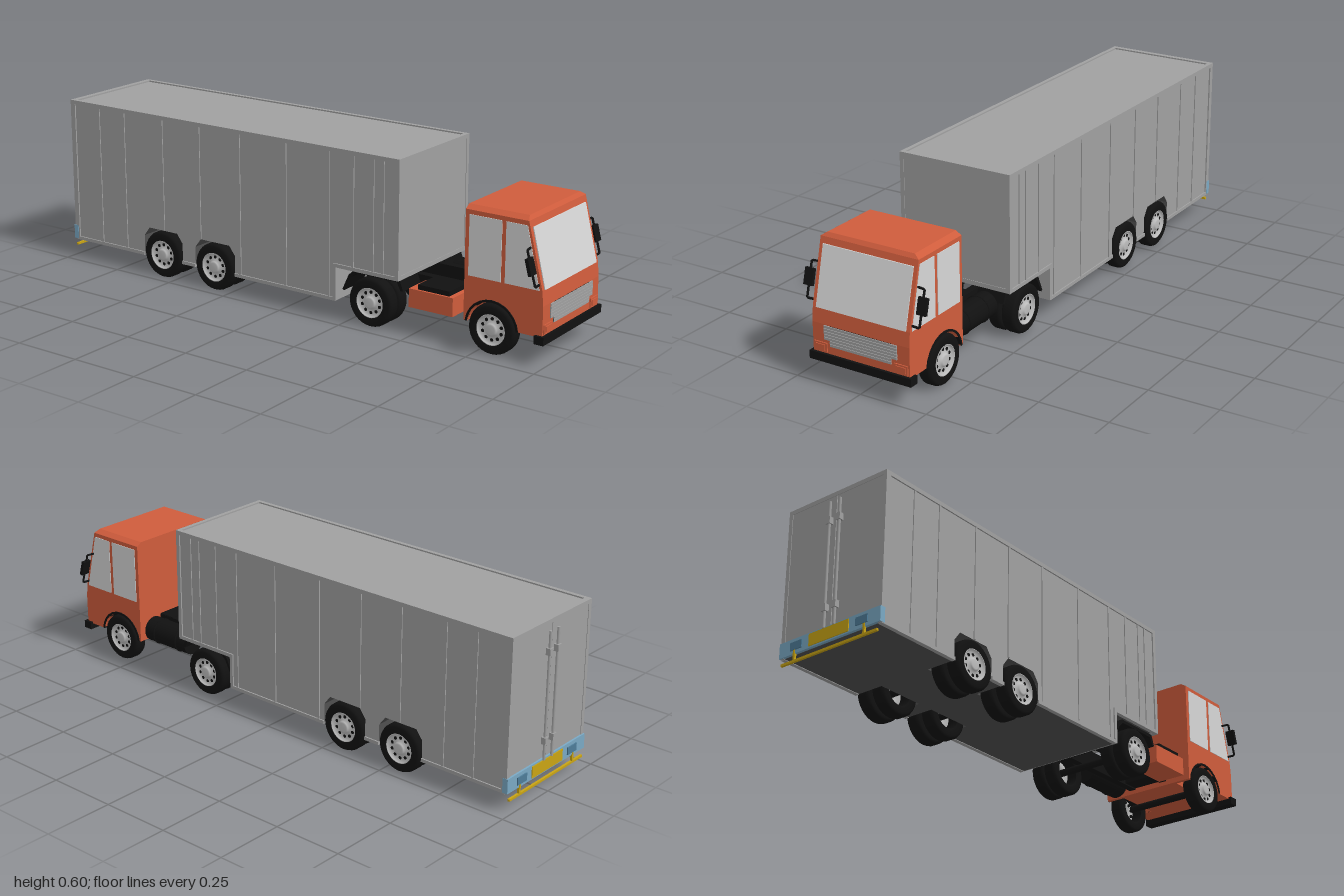
import * as THREE from 'three';

const mat = (name, color, extra = {}) => {
  const m = new THREE.MeshStandardMaterial({ color, ...extra });
  m.name = name;
  return m;
};

export function createModel() {
  const truck = new THREE.Group();
  truck.name = 'articulatedTruck';
  const grey = mat('trailerGrey', 0xa0a0a0);
  const dark = mat('undersideGrey', 0x505050);
  const orange = mat('cabOrange', 0xcf5c3c);
  const glass = mat('windowGlass', 0xd6d6d6);
  const black = mat('black', 0x111111);
  const silver = mat('rimSilver', 0xbdbdbd, { side: THREE.DoubleSide });
  const yellow = mat('markerYellow', 0xc9a414);
  const blue = mat('bumperBlue', 0x7aa9c4);
  const deepBlue = mat('lampBlue', 0x4d7c98);
  const sides = [-1, 1];

  const add = (name, geo, material, parent = truck) => {
    const m = new THREE.Mesh(geo, material);
    m.name = name;
    parent.add(m);
    return m;
  };
  const group = (name) => {
    const g = new THREE.Group();
    g.name = name;
    truck.add(g);
    return g;
  };
  // Box from its three ranges
  const box = (name, material, [x0, x1], [y0, y1], [z0, z1], parent) => {
    const geo = new THREE.BoxGeometry(Math.abs(x1 - x0), y1 - y0, Math.abs(z1 - z0));
    geo.translate((x0 + x1) / 2, (y0 + y1) / 2, (z0 + z1) / 2);
    return add(name, geo, material, parent);
  };
  // Side profile of (z, y) points, extruded across x
  const prism = (name, material, points, xa, xb, parent) => {
    const [x0, x1] = [Math.min(xa, xb), Math.max(xa, xb)];
    const shape = new THREE.Shape(points.map(([z, y]) => new THREE.Vector2(z, y)));
    const geo = new THREE.ExtrudeGeometry(shape, { depth: x1 - x0, bevelEnabled: false });
    geo.rotateY(-Math.PI / 2).translate(x1, 0, 0);
    return add(name, geo, material, parent);
  };

  // ---- Trailer body: plain centre, outer pods with wheel arches
  const trailer = group('trailer');
  const F = 0.465, B = -0.98, step = 0.21, low = 0.072, neck = 0.195, top = 0.598;
  const trailerAxles = [-0.315, -0.555];
  const upper = [[B, low], [B, top], [F - 0.005, top], [F - 0.005, neck], [step, neck], [step, low]];
  const arches = trailerAxles.flatMap((c) => [
    [c + 0.09, low], [c + 0.09, 0.145], [c + 0.065, 0.178],
    [c - 0.065, 0.178], [c - 0.09, 0.145], [c - 0.09, low]]);
  prism('trailerCore', dark, upper, -0.1, 0.1, trailer);
  for (const s of sides) prism('trailerSide', [grey, dark], [...upper, ...arches], s * 0.1, s * 0.21, trailer);
  box('roofPanel', grey, [-0.21, 0.21], [top - 0.002, top + 0.002], [B, F - 0.002], trailer);
  box('frontPanel', grey, [-0.21, 0.21], [neck, top], [F - 0.006, F - 0.002], trailer);
  box('stepPanel', grey, [-0.213, 0.213], [low, neck], [step - 0.002, step + 0.003], trailer);

  // Edge frame
  const T = 0.605, w = 0.015;
  for (const s of sides) {
    const edge = [s * 0.2, s * 0.215];
    box('roofRail', grey, edge, [T - w, T], [B, F], trailer);
    box('frontPost', grey, edge, [neck - 0.005, T], [F - w, F], trailer);
    box('rearPost', grey, edge, [low, T], [B - 0.005, B + w], trailer);
    box('neckRail', grey, edge, [neck - 0.005, neck + 0.008], [step, F], trailer);
    box('stepPost', grey, edge, [low, neck + 0.008], [step - 0.01, step + 0.003], trailer);
    const cuts = [step, ...trailerAxles.flatMap((c) => [c + 0.09, c - 0.09]), B];
    for (let i = 0; i < cuts.length; i += 2)
      box('lowerRail', grey, edge, [low - 0.002, low + 0.01], [cuts[i + 1], cuts[i]], trailer);
    for (const z of [0.4, 0.36, 0.28, 0.18, 0, -0.2, -0.38, -0.55, -0.73, -0.85])
      box('sideRib', grey, [s * 0.208, s * 0.2135], [Math.abs(z + 0.46) < 0.25 ? 0.18 : z > step ? neck : low, T - w], [z - 0.004, z + 0.004], trailer);
  }
  box('frontTopRail', grey, [-0.215, 0.215], [T - w, T], [F - w, F], trailer);
  box('frontBottomRail', grey, [-0.215, 0.215], [neck - 0.005, neck + 0.01], [F - w, F], trailer);
  box('rearTopRail', grey, [-0.215, 0.215], [T - w, T], [B - 0.005, B + w], trailer);

  // Rear doors with locking rods
  for (const s of sides) {
    box('rearDoor', grey, [s * 0.0015, s * 0.2], [0.12, T - w], [B - 0.003, B], trailer);
    const rod = new THREE.CylinderGeometry(0.005, 0.005, 0.45, 10).translate(s * 0.022, 0.345, B - 0.012);
    add('lockRod', rod, grey, trailer);
    for (const y of [0.19, 0.5])
      box('rodClamp', grey, [s * 0.013, s * 0.031], [y - 0.012, y + 0.012], [B - 0.02, B - 0.003], trailer);
  }

  // Rear bumper, lamps and underrun bar
  box('rearBumper', blue, [-0.216, 0.216], [0.073, 0.125], [B - 0.01, B + 0.01], trailer);
  box('markerPlate', yellow, [-0.085, 0.085], [0.078, 0.12], [B - 0.013, B - 0.009], trailer);
  box('underrunBar', yellow, [-0.205, 0.205], [0.043, 0.051], [B - 0.012, B - 0.004], trailer);
  for (const s of sides) {
    box('rearLamp', deepBlue, [s * 0.115, s * 0.165], [0.085, 0.112], [B - 0.014, B - 0.009], trailer);
    box('underrunStrut', yellow, [s * 0.145, s * 0.153], [0.045, 0.085], [B - 0.012, B - 0.004], trailer);
  }

  // ---- Cab: plain centre, outer parts with wheel arches
  const cab = group('cab');
  const axle = 0.805;
  const cabTop = [[0.7, 0.1], [0.7, 0.475], [0.93, 0.475], [0.985, 0.255], [0.99, 0.205], [0.99, 0.1]];
  const cabArch = [];
  for (let i = 0; i <= 12; i++) {
    const a = 0.12 + (i / 12) * (Math.PI - 0.24);
    cabArch.push([axle + 0.092 * Math.cos(a), 0.089 + 0.092 * Math.sin(a)]);
  }
  prism('cabCore', orange, cabTop, -0.12, 0.12, cab);
  for (const s of sides) {
    prism('cabSide', orange, [...cabTop, ...cabArch], s * 0.12, s * 0.186, cab);
    // Arch lining
    const outer = cabArch.map(([z, y]) => [axle + (z - axle) * 1.08, 0.089 + (y - 0.089) * 1.08]);
    prism('archTrim', black, [...cabArch, ...outer.reverse()], s * 0.13, s * 0.189, cab);
    // Side windows
    prism('doorWindow', glass, [[0.715, 0.255], [0.835, 0.255], [0.835, 0.46], [0.715, 0.46]], s * 0.184, s * 0.188, cab);
    prism('quarterWindow', glass, [[0.85, 0.255], [0.975, 0.255], [0.926, 0.46], [0.85, 0.46]], s * 0.184, s * 0.188, cab);
    // Headlamp housings
    box('headlampHousing', orange, [s * 0.13, s * 0.18], [0.11, 0.142], [0.985, 0.994], cab);
    box('headlamp', orange, [s * 0.137, s * 0.173], [0.116, 0.136], [0.99, 0.997], cab);
    // Mirror on a bent tube
    const path = new THREE.CurvePath();
    const pts = [[0.18, 0.39, 0.938], [0.215, 0.39, 0.943], [0.215, 0.273, 0.975], [0.18, 0.273, 0.972]]
      .map(([x, y, z]) => new THREE.Vector3(s * x, y, z));
    for (let i = 0; i < 3; i++) path.add(new THREE.LineCurve3(pts[i], pts[i + 1]));
    add('mirrorArm', new THREE.TubeGeometry(path, 36, 0.004, 8), black, cab);
    const mirror = box('mirror', black, [-0.017, 0.017], [-0.028, 0.028], [-0.006, 0.006], cab);
    mirror.position.set(s * 0.216, 0.339, 0.957);
    mirror.rotation.x = -0.26;
  }
  // Roof slab with chamfered edges
  const roof = new THREE.BoxGeometry(0.372, 0.013, 0.23).toNonIndexed();
  const p = roof.attributes.position;
  for (let i = 0; i < p.count; i++)
    if (p.getY(i) > 0) p.setXYZ(i, p.getX(i) * 0.89, p.getY(i), p.getZ(i) > 0 ? 0.105 : p.getZ(i));
  roof.computeVertexNormals();
  roof.translate(0, 0.4815, 0.815);
  add('cabRoof', roof, orange, cab);
  prism('windscreen', glass, [[0.98, 0.256], [0.988, 0.256], [0.939, 0.453], [0.931, 0.453]], -0.172, 0.172, cab);

  // Grille and bumper
  box('grilleBack', black, [-0.118, 0.118], [0.134, 0.203], [0.985, 0.991], cab);
  for (let i = 0; i < 7; i++) {
    const y = 0.134 + i * 0.01, half = i < 2 ? 0.118 : 0.14;
    box('grilleSlat', grey, [-half, half], [y, y + 0.0085], [0.985, 0.994], cab);
  }
  box('frontBumper', black, [-0.196, 0.196], [0.078, 0.106], [0.965, 1], cab);

  // ---- Tractor chassis
  const chassis = group('chassis');
  box('crossMember', black, [-0.08, 0.08], [0.12, 0.182], [0.635, 0.7], chassis);
  box('rearCrossMember', black, [-0.08, 0.08], [0.12, 0.175], [0.27, 0.31], chassis);
  const plate = new THREE.CylinderGeometry(0.075, 0.075, 0.016, 24).translate(0, 0.186, 0.345);
  add('couplingPlate', plate, black, chassis);
  for (const s of sides) {
    box('chassisRail', black, [s * 0.055, s * 0.082], [0.115, 0.18], [0.25, 0.72], chassis);
    prism('mudguard', black, [[0.47, 0.15], [0.455, 0.19], [0.275, 0.19], [0.25, 0.165], [0.225, 0.11],
      [0.232, 0.107], [0.258, 0.157], [0.28, 0.178], [0.445, 0.178], [0.46, 0.148]], s * 0.085, s * 0.192, chassis);
  }
  const tank = new THREE.CylinderGeometry(0.046, 0.046, 0.205, 20).rotateX(Math.PI / 2).translate(0.13, 0.142, 0.583);
  add('fuelTank', tank, black, chassis);
  for (const z of [0.53, 0.64])
    add('tankStrap', new THREE.TorusGeometry(0.046, 0.003, 6, 20).translate(0.13, 0.142, z), black, chassis);
  box('sideLocker', orange, [-0.188, -0.08], [0.1, 0.165], [0.49, 0.66], chassis);
  box('lockerTop', black, [-0.18, -0.07], [0.16, 0.182], [0.52, 0.642], chassis);

  // ---- Wheels: lathe profiles of (radius, distance across)
  const R = 0.086, V = (a) => a.map(([r, y]) => new THREE.Vector2(r, y));
  const h = 0.026;
  const tyreGeo = new THREE.LatheGeometry(V([[0.05, -h + 0.004], [0.056, -h], [0.076, -h], [0.083, -h + 0.005],
    [R, -h + 0.012], [R, h - 0.012], [0.083, h - 0.005], [0.076, h], [0.056, h], [0.05, h - 0.004], [0.05, -h + 0.004]]), 32);
  const rimGeo = new THREE.LatheGeometry(V([[0.053, h - 0.001], [0.049, h], [0.045, h - 0.012], [0.024, h - 0.008],
    [0.021, h - 0.001], [0.015, h + 0.001], [0, h + 0.001]]), 32);
  const holeGeo = new THREE.CylinderGeometry(0.006, 0.006, 0.006, 10);
  const tyre = (parent, x, s, faced) => {
    const wheel = new THREE.Group();
    wheel.name = 'wheel';
    wheel.position.x = s * x;
    wheel.rotation.z = -s * Math.PI / 2;
    parent.add(wheel);
    add('tyre', tyreGeo, black, wheel);
    add('rim', rimGeo, silver, wheel);
    if (!faced) return;
    for (let i = 0; i < 10; i++) {
      const a = (i / 10) * Math.PI * 2;
      add('rimHole', holeGeo, black, wheel).position.set(0.036 * Math.cos(a), h - 0.012, 0.036 * Math.sin(a));
    }
  };
  const axles = [['frontAxle', axle, [0.165]], ['driveAxle', 0.345, [0.18, 0.126]],
    ...trailerAxles.map((z) => ['trailerAxle', z, [0.193, 0.128]])];
  for (const [name, z, xs] of axles) {
    const g = group(name);
    g.position.set(0, 0.088, z);
    add('axleBeam', new THREE.CylinderGeometry(0.013, 0.013, 0.3, 12).rotateZ(Math.PI / 2), black, g);
    for (const s of sides) xs.forEach((x, i) => tyre(g, x, s, i === 0));
  }
  return truck;
}
